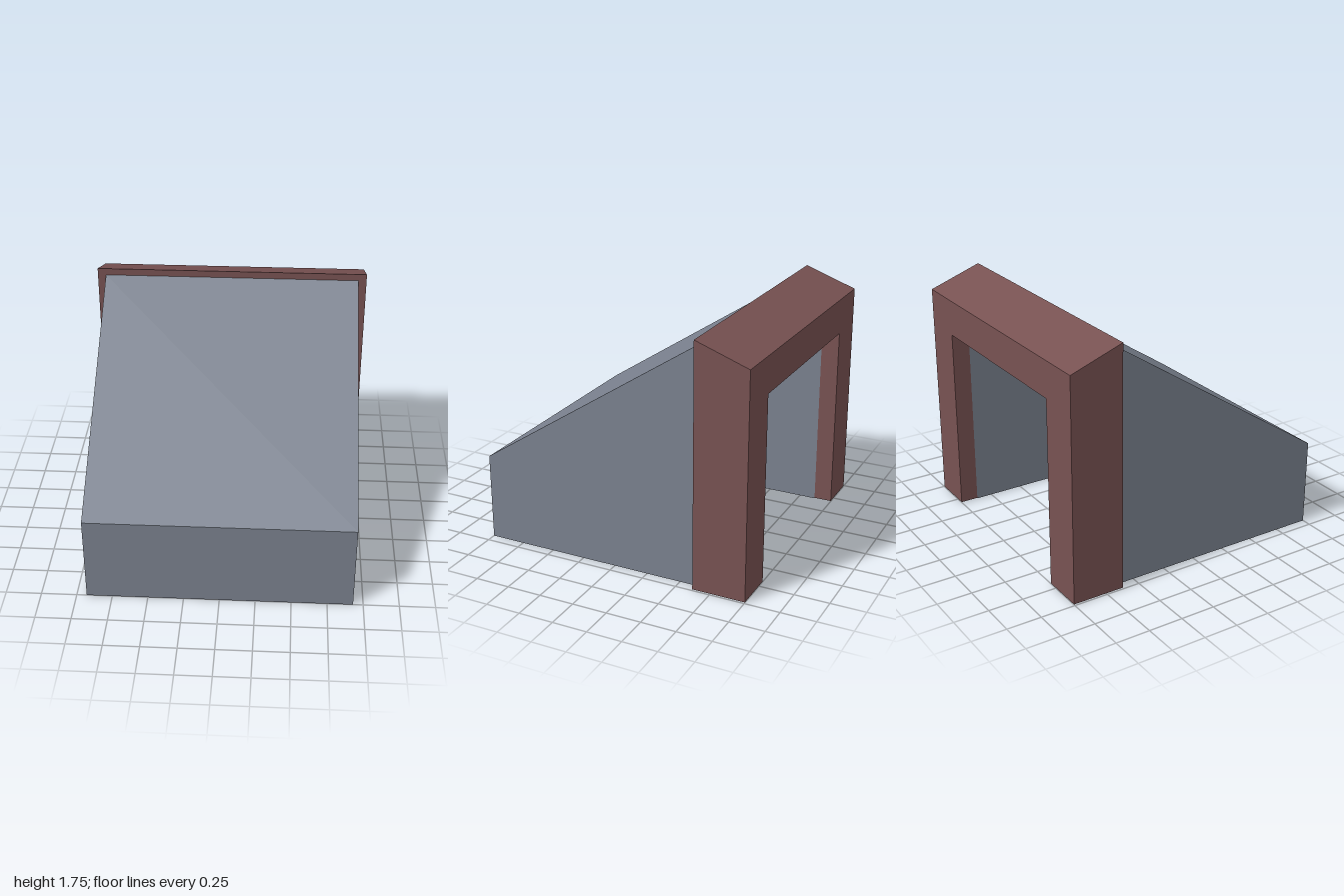
import * as THREE from 'three';
import { mergeGeometries } from 'three/addons/utils/BufferGeometryUtils.js';

const OUT = 0.93, INNER = 0.682; // half widths of the hood, outside and inside

const toShape = pts => new THREE.Shape(pts.map(([x, y]) => new THREE.Vector2(x, y)));

// Upright flat panel from a (z, y) profile at a given x, facing +x or -x
function sidePanel(profile, x, facing) {
  const g = new THREE.ShapeGeometry(toShape(profile.map(([z, y]) => [-facing * z, y])));
  return g.rotateY(facing * Math.PI / 2).translate(x, 0, 0).toNonIndexed();
}

// Band of flat faces following a (z, y) profile across the width
function band(profile, half, inward) {
  const pos = [];
  for (let i = 0; i < profile.length - 1; i++) {
    const [z0, y0] = profile[i], [z1, y1] = profile[i + 1];
    const a = [-half, y0, z0], b = [-half, y1, z1], c = [half, y1, z1], d = [half, y0, z0];
    pos.push(...(inward ? [a, d, c, a, c, b] : [a, b, c, a, c, d]).flat());
  }
  const g = new THREE.BufferGeometry();
  g.setAttribute('position', new THREE.Float32BufferAttribute(pos, 3));
  g.computeVertexNormals();
  return g;
}

function join(list) {
  list.forEach(g => g.deleteAttribute('uv'));
  return mergeGeometries(list);
}

export function createModel() {
  const grey = new THREE.MeshStandardMaterial({ color: 0x7a818e });
  grey.name = 'slate grey';
  const brown = new THREE.MeshStandardMaterial({ color: 0x785252 });
  brown.name = 'red brown';

  const group = new THREE.Group();
  const add = (name, geometry, material) => {
    const mesh = new THREE.Mesh(geometry, material);
    mesh.name = name;
    group.add(mesh);
  };

  // Sloping outer hood
  const outer = [[-0.62, 1.70], [1, 0.63], [1, 0]];
  const outerSide = [[-0.62, 0], ...outer];
  add('hoodOutside', join([
    band(outer, OUT, false),
    sidePanel(outerSide, OUT, 1),
    sidePanel(outerSide, -OUT, -1),
  ]), grey);

  // Hollow inside with a sloping ceiling and a thick front wall
  const inner = [[-0.87, 1.355], [0.36, 0.62], [0.36, 0]];
  const innerSide = [[-0.87, 0], ...inner];
  add('hoodInside', join([
    band(inner, INNER, true),
    sidePanel(innerSide, INNER, -1),
    sidePanel(innerSide, -INNER, 1),
  ]), grey);

  // Underside, one flat U running below hood and frame
  const half = [[0.99, -1], [0.99, -0.62], [OUT, -0.62], [OUT, 1]];
  const hole = [[-INNER, -1], [-INNER, 0.36], [INNER, 0.36], [INNER, -1]];
  const mirrored = half.map(([x, z]) => [-x, z]).reverse();
  const base = new THREE.ShapeGeometry(toShape([...half, ...mirrored, ...hole]));
  add('underside', base.rotateX(Math.PI / 2), grey);

  // Door frame, its top sloping down to the back
  const frame = new THREE.ExtrudeGeometry(toShape([
    [-0.99, 0.003], [-0.685, 0.003], [-0.685, 1.355], [0.685, 1.355],
    [0.685, 0.003], [0.99, 0.003], [0.99, 1.75], [-0.99, 1.75],
  ]), { depth: 0.38, bevelEnabled: false });
  frame.translate(0, 0, -1);
  const p = frame.attributes.position;
  for (let i = 0; i < p.count; i++) {
    if (p.getY(i) > 1.6 && p.getZ(i) < -0.9) p.setY(i, 1.615);
  }
  frame.computeVertexNormals();
  add('doorFrame', frame, brown);

  return group;
}
